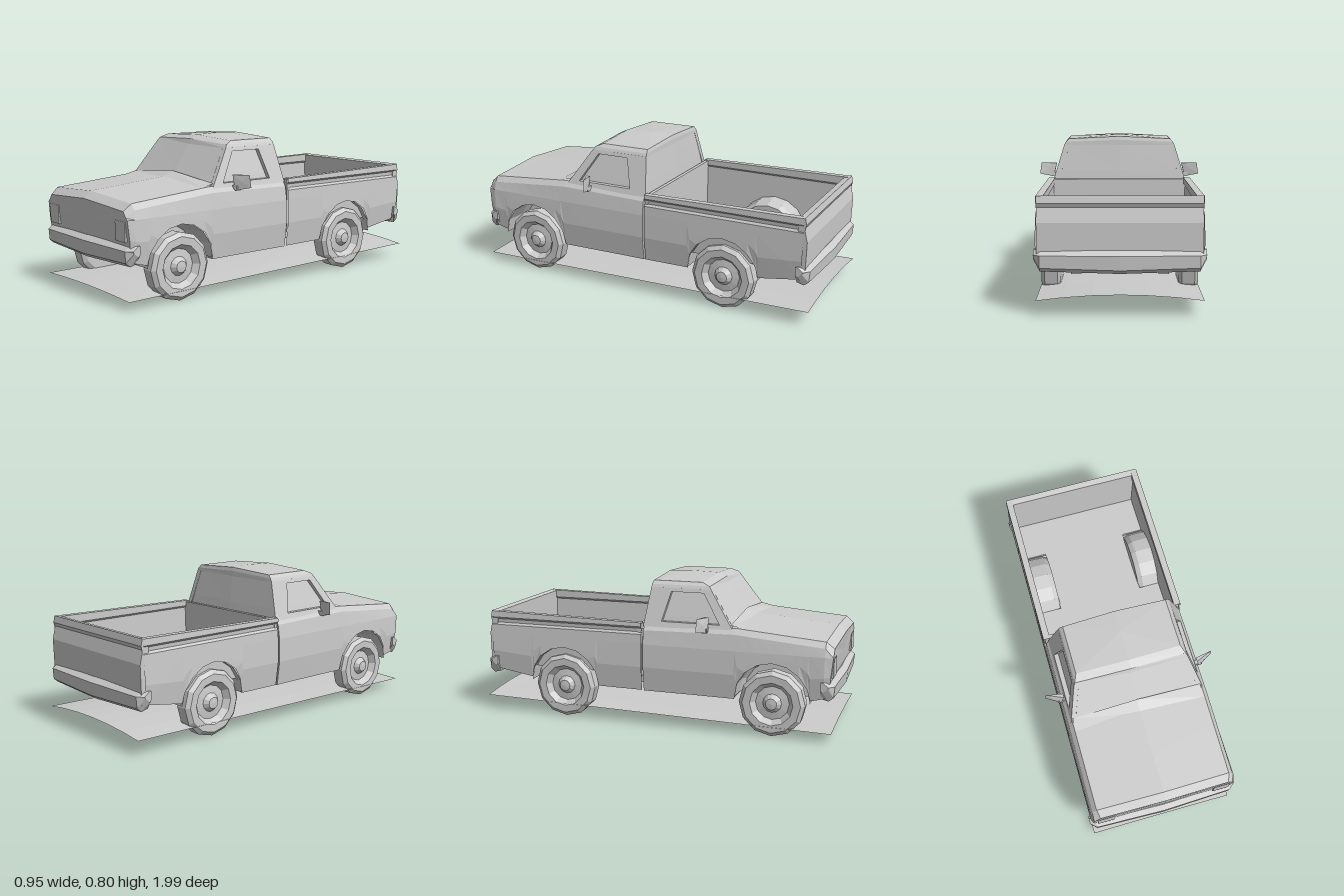
import * as THREE from 'three';

const mat = new THREE.MeshStandardMaterial({ color: 0xcccccc, flatShading: true, side: THREE.DoubleSide });
const FRONT = 0.66, REAR = -0.51, ARCH = 0.2; // wheel centres and arch radius

function add(parent, name, geo, x = 0, y = 0, z = 0) {
  const m = new THREE.Mesh(geo, mat);
  m.name = name;
  m.position.set(x, y, z);
  parent.add(m);
}
const box = (w, h, d) => new THREE.BoxGeometry(w, h, d);

// Surface through rows of points; optionally closed around and capped at both ends
function loft(rows, { closed = false, capStart = null, capEnd = null } = {}) {
  const p = [], n = rows[0].length;
  const tri = (a, b, c) => p.push(...a, ...b, ...c);
  for (let i = 0; i < rows.length - 1; i++)
    for (let j = 0; j < (closed ? n : n - 1); j++) {
      const k = (j + 1) % n, A = rows[i], B = rows[i + 1];
      tri(A[j], A[k], B[j]);
      tri(A[k], B[k], B[j]);
    }
  const cap = (r, c, flip) => r.forEach((v, j) => {
    const w = r[(j + 1) % n];
    flip ? tri(w, v, c) : tri(v, w, c);
  });
  if (capStart) cap(rows[0], capStart, true);
  if (capEnd) cap(rows[rows.length - 1], capEnd, false);
  const g = new THREE.BufferGeometry();
  g.setAttribute('position', new THREE.Float32BufferAttribute(p, 3));
  g.computeVertexNormals();
  return g;
}

// Piecewise linear lookup, table sorted by its first value
function lerpTable(t, v) {
  if (v <= t[0][0]) return t[0][1];
  for (let i = 1; i < t.length; i++)
    if (v <= t[i][0]) return THREE.MathUtils.mapLinear(v, t[i - 1][0], t[i][0], t[i - 1][1], t[i][1]);
  return t[t.length - 1][1];
}
const bulge = y => lerpTable([[0.19, 0.385], [0.34, 0.405], [0.45, 0.4]], y);
const hoodY = z => lerpTable([[-0.05, 0.55], [0.45, 0.56], [0.93, 0.52], [0.97, 0.485]], z);

// Lower edge of the body, with wheel arches
function bottom(z) {
  for (const c of [FRONT, REAR]) {
    const d = Math.abs(z - c);
    if (d < ARCH - 1e-4) return 0.195 + Math.sqrt(ARCH * ARCH - d * d);
  }
  return lerpTable([[-0.95, 0.25], [-0.71, 0.21], [-0.3, 0.19], [0.46, 0.185], [0.86, 0.21], [0.97, 0.24]], z);
}
const archStations = c => Array.from({ length: 9 }, (_, i) => c + ARCH * Math.cos(i * Math.PI / 8));

// Cab and hood shell; the nose leans back towards the bumper
function addFrontBody(g) {
  const zs = [0.972, 0.93, ...archStations(FRONT), 0.3, 0.1, -0.045];
  const rows = zs.map(z => {
    const b = bottom(z), t = hoodY(z), m = (b + 0.45) / 2, nose = z > 0.95;
    const half = [[bulge(b), b], [bulge(m), m], [0.4, 0.445], [0.388, Math.max(t - 0.03, 0.455)], [0.365, t]]
      .map(([x, y]) => [nose ? x - 0.01 : x, y, nose ? z - Math.max(0, 0.44 - y) * 0.1 : z]);
    return [...half, [0, t + 0.022, z + (z > 0.9 ? 0.008 : 0)], ...half.slice().reverse().map(([x, y, d]) => [-x, y, d])];
  });
  add(g, 'cabAndHood', loft(rows, { capStart: [0, 0.4, 0.967], capEnd: [0, 0.38, -0.045] }));
  add(g, 'cabFloor', box(0.76, 0.02, 0.5), 0, 0.195, 0.205);
  add(g, 'enginePan', box(0.46, 0.05, 0.46), 0, 0.215, 0.66);
  for (const s of [-1, 1]) add(g, 'headlight', box(0.09, 0.1, 0.016), s * 0.325, 0.385, 0.965);
  // Cowl at the foot of the windshield
  add(g, 'cowl', loft([[0.5, 0], [0.43, 0.032]].map(([z, h]) =>
    [-0.36, 0, 0.36].map(x => [x, 0.556 + h + (x ? -h / 2 : 0.018), z]))));
}

// Windows, pillars and roof
function addGreenhouse(g) {
  const ring = (y, w, zf, zr, crown) => [[-w, y, zf], [0, y + crown, zf + 0.008], [w, y, zf],
    [w, y, zr], [0, y + crown, zr - 0.005], [-w, y, zr]];
  add(g, 'windows', loft([ring(0.53, 0.352, 0.458, -0.047, 0), ring(0.6, 0.332, 0.408, -0.04, 0),
    ring(0.75, 0.285, 0.305, -0.022, 0)], { closed: true }));
  add(g, 'roof', loft([ring(0.742, 0.313, 0.31, -0.024, 0), ring(0.76, 0.304, 0.298, -0.023, 0.012),
    ring(0.778, 0.286, 0.255, -0.018, 0.014)], { closed: true, capEnd: [0, 0.797, 0.1] }));
  const shape = new THREE.Shape([[0.45, 0.54], [0.407, 0.6], [0.308, 0.745], [-0.024, 0.745], [-0.05, 0.54]]
    .map(p => new THREE.Vector2(...p)));
  shape.holes.push(new THREE.Path([[0.37, 0.57], [0.27, 0.725], [0.09, 0.725], [0.05, 0.57]]
    .map(p => new THREE.Vector2(...p))));
  for (const s of [-1, 1]) {
    const geo = new THREE.ExtrudeGeometry(shape, { depth: 0.03, bevelEnabled: false });
    const p = geo.attributes.position;
    for (let i = 0; i < p.count; i++) {
      const z = p.getX(i), y = p.getY(i), d = p.getZ(i);
      p.setXYZ(i, s * (THREE.MathUtils.mapLinear(y, 0.54, 0.745, 0.375, 0.312) - 0.03 + d), y, z);
    }
    geo.computeVertexNormals();
    add(g, 'windowFrame', geo);
    // Door mirror: a wedge thinning towards its outer edge
    const face = o => [[0.375, 0.61, 0.3 + o], [0.467, 0.614, 0.277], [0.475, 0.548, 0.272], [0.395, 0.53, 0.3 + o]]
      .map(([x, y, z]) => [s * x, y, z]);
    add(g, 'mirror', loft([face(-0.008), face(0.015)],
      { closed: true, capStart: [s * 0.43, 0.578, 0.282], capEnd: [s * 0.43, 0.578, 0.299] }));
    add(g, 'mirrorStalk', box(0.05, 0.025, 0.025), s * 0.385, 0.543, 0.3);
  }
}

// Open cargo bed
function addBed(g) {
  const zs = [-0.055, -0.2, ...archStations(REAR), -0.85, -0.945];
  for (const s of [-1, 1]) {
    const rows = zs.map(z => {
      const b = bottom(z), m = (b + 0.45) / 2, t = 0.56 - 0.015 * z;
      return [[bulge(b), b], [bulge(m), m], [0.4, 0.45], [0.398, 0.498], [0.388, 0.51], [0.39, 0.53],
        [0.4, 0.54], [0.398, t], [0.362, t], [0.362, 0.53], [0.37, 0.52], [0.362, 0.27]].map(([x, y]) => [s * x, y, z]);
    });
    add(g, 'bedSide', loft(rows));
    add(g, 'bedFloorFront', box(0.13, 0.02, 0.265), s * 0.305, 0.27, -0.1925);
    add(g, 'bedFloorRear', box(0.13, 0.02, 0.235), s * 0.305, 0.27, -0.8125);
  }
  add(g, 'bedFloor', box(0.49, 0.02, 0.87), 0, 0.27, -0.495);
  add(g, 'bedFrontWall', box(0.78, 0.29, 0.02), 0, 0.41, -0.066);
  const gate = [[-0.915, 0.27], [-0.915, 0.57], [-0.95, 0.576], [-0.957, 0.54], [-0.948, 0.52], [-0.965, 0.45], [-0.96, 0.25]];
  add(g, 'tailgate', loft([-0.395, 0.395].map(x => gate.map(([z, y]) => [x, y, z])),
    { closed: true, capStart: [-0.395, 0.43, -0.935], capEnd: [0.395, 0.43, -0.935] }));
}

// Bumpers: one profile swept across the width, ends swept back and cut up below
function addBumper(g, name, dir) {
  const profile = [[0.915, 0.225], [0.965, 0.215], [0.99, 0.235], [0.995, 0.295], [0.965, 0.318], [0.915, 0.318]];
  const rows = [[-0.412, 0.04, 0.05], [-0.38, 0.012, 0], [0, 0, -0.01], [0.38, 0.012, 0], [0.412, 0.04, 0.05]]
    .map(([x, back, dy]) => profile.map(([z, y]) => [x, y + (y < 0.25 ? dy : 0), dir * (z - (z > 0.93 ? back : 0))]));
  add(g, name, loft(rows, { closed: true, capStart: [-0.412, 0.29, dir * 0.93], capEnd: [0.412, 0.29, dir * 0.93] }));
}

function addWheels(g) {
  const profile = [[0, -0.05], [0.15, -0.05], [0.174, -0.035], [0.176, 0.03], [0.155, 0.048], [0.115, 0.047],
    [0.09, 0.015], [0.05, 0.02], [0.03, 0.045], [0, 0.048]].map(p => new THREE.Vector2(...p));
  for (const c of [FRONT, REAR]) {
    for (const s of [-1, 1]) {
      const tyre = new THREE.LatheGeometry(profile, 12);
      tyre.rotateZ(-s * Math.PI / 2);
      add(g, 'wheel', tyre, s * 0.35, 0.176, c);
      // Wheel housing: half drum with a rounded shoulder, closed on its inner side
      const arc = (x, k) => Array.from({ length: 9 }, (_, i) => {
        const a = i * Math.PI / 8;
        return [s * x, 0.195 + k * ARCH * Math.sin(a), c + k * ARCH * Math.cos(a)];
      });
      add(g, 'wheelHousing', loft([arc(0.392, 1), arc(0.27, 0.99), arc(0.242, 0.9), arc(0.24, 0)]));
    }
    const axle = new THREE.CylinderGeometry(0.025, 0.025, 0.6, 6);
    axle.rotateZ(Math.PI / 2);
    add(g, 'axle', axle, 0, 0.176, c);
  }
}

function addUnderside(g) {
  const differential = new THREE.OctahedronGeometry(0.07);
  differential.scale(1.4, 1, 1);
  add(g, 'differential', differential, 0, 0.178, REAR);
  const shaft = new THREE.CylinderGeometry(0.015, 0.015, 0.6, 6);
  shaft.rotateX(Math.PI / 2);
  add(g, 'driveShaft', shaft, 0, 0.18, -0.2);
  // Gearbox: wedge deepest near the middle of the cab
  const gearbox = [[0.3, 0.175], [0.12, 0.132], [0.06, 0.14], [0, 0.18]];
  add(g, 'gearbox', loft(gearbox.map(([z, y]) => [[-0.12, 0.19, z], [-0.06, y, z], [0.06, y, z], [0.12, 0.19, z]])));
  for (const s of [-1, 1]) {
    add(g, 'frameRail', box(0.05, 0.06, 1.8), s * 0.21, 0.22, 0);
    // Front suspension arm, drooping towards the wheel
    const arm = [[0.12, 0.175], [0.2, 0.145], [0.27, 0.125], [0.3, 0.15]];
    add(g, 'suspensionArm', loft(arm.map(([x, y]) => [[s * x, 0.195, 0.73], [s * x, y, 0.69], [s * x, y, 0.63], [s * x, 0.195, 0.59]]),
      { closed: true }));
  }
  // Thin bowed sheet under the truck, rising to the rear
  const rows = [];
  for (let i = 0; i <= 8; i++) {
    const t = i / 8;
    rows.push([-0.4, -0.27, -0.13, 0, 0.13, 0.27, 0.4].map(x =>
      [x, 0.047 + 0.034 * t + (0.011 + 0.017 * t) * (1 - (x / 0.4) ** 2), 0.975 - 1.965 * t]));
  }
  add(g, 'groundSheet', loft(rows));
}

export function createModel() {
  const g = new THREE.Group();
  g.name = 'pickupTruck';
  addFrontBody(g);
  addGreenhouse(g);
  addBed(g);
  addBumper(g, 'frontBumper', 1);
  addBumper(g, 'rearBumper', -1);
  addWheels(g);
  addUnderside(g);
  return g;
}
